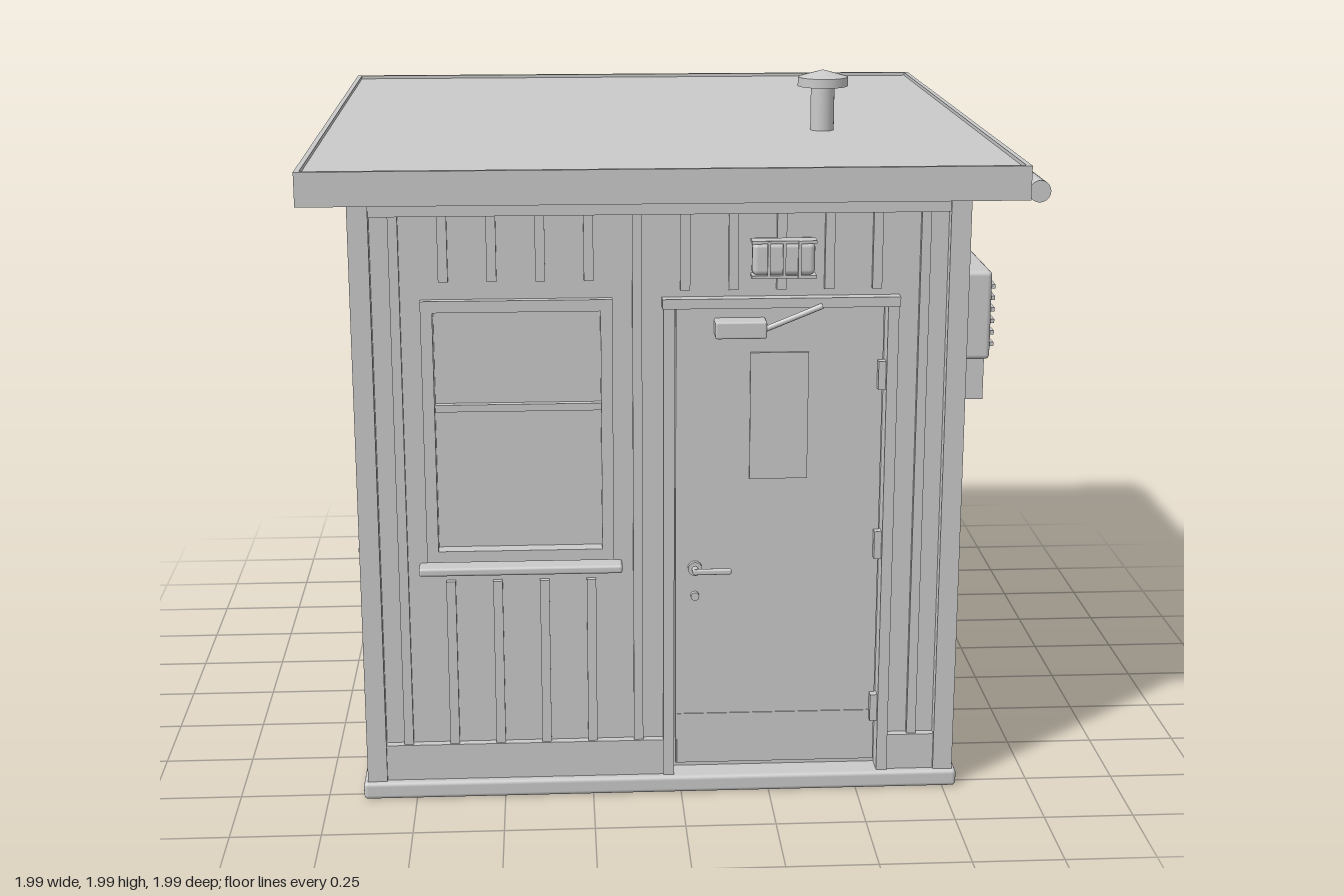
import * as THREE from 'three';
import { RoundedBoxGeometry } from 'three/addons/geometries/RoundedBoxGeometry.js';

export function createModel() {
  const model = new THREE.Group();
  model.name = 'guardHut';
  const paint = new THREE.MeshStandardMaterial({ color: 0xcacaca });
  paint.name = 'grey paint';

  const add = (parent, name, geo, x, y, z) => {
    const m = new THREE.Mesh(geo, paint);
    m.name = name;
    m.position.set(x, y, z);
    parent.add(m);
    return m;
  };
  // box given by its extents
  const box = (parent, name, x0, x1, y0, y1, z0, z1, r = 0) => {
    const s = [x1 - x0, y1 - y0, z1 - z0];
    const g = r ? new RoundedBoxGeometry(...s, 2, r) : new THREE.BoxGeometry(...s);
    return add(parent, name, g, (x0 + x1) / 2, (y0 + y1) / 2, (z0 + z1) / 2);
  };
  // round bar between two points
  const rod = (parent, name, a, b, r, sides = 16) => {
    const p = new THREE.Vector3(...a), q = new THREE.Vector3(...b);
    const d = q.clone().sub(p);
    const m = add(parent, name, new THREE.CylinderGeometry(r, r, d.length(), sides), 0, 0, 0);
    m.position.copy(p).add(q).multiplyScalar(0.5);
    m.quaternion.setFromUnitVectors(new THREE.Vector3(0, 1, 0), d.normalize());
    return m;
  };
  const rect = (Type, x0, x1, y0, y1) =>
    new Type([[x0, y0], [x1, y0], [x1, y1], [x0, y1]].map(p => new THREE.Vector2(...p)));

  // Hut body, centred on its own square plan
  const H = 0.833, B = 0.824, F = 0.801, G = 0.77; // post, band, panel and glass faces
  const hut = new THREE.Group();
  hut.name = 'hut';
  hut.position.set(-0.055, 0, -0.055);
  model.add(hut);
  box(hut, 'baseSlab', -0.845, 0.845, 0, 0.05, -0.845, 0.845, 0.012);
  box(hut, 'wallCore', -G, G, 0.04, 1.76, -G, G);
  for (const sx of [-1, 1]) for (const sz of [-1, 1]) {
    const post = box(hut, 'cornerPost', -0.0275, 0.0275, 0.05, 1.75, -0.0275, 0.0275);
    post.position.x = sx * (H - 0.0275);
    post.position.z = sz * (H - 0.0275);
  }

  // Each wall faces local +z; gaps are [from, to, low, high] breaks in the ribs,
  // holes are [x0, x1, y0, y1] openings in the panel
  const wall = (name, angle, gaps, holes) => {
    const w = new THREE.Group();
    w.name = name;
    w.rotation.y = angle;
    hut.add(w);
    const panel = rect(THREE.Shape, -0.79, 0.79, 0.04, 1.755);
    panel.holes = holes.map(h => rect(THREE.Path, ...h));
    add(w, 'wallPanel', new THREE.ExtrudeGeometry(panel, { depth: F - G, bevelEnabled: false }), 0, 0, G);
    box(w, 'topBand', -0.778, 0.778, 1.67, 1.75, F - 0.01, B);
    for (let i = 0; i < 12; i++) {
      const x = (i - 5.5) * 0.13;
      const gap = gaps.find(g => x > g[0] && x < g[1]);
      const spans = gap ? [[0.155, gap[2]], [gap[3], 1.67]] : [[0.155, 1.67]];
      for (const [a, b] of spans)
        if (b > a) box(w, 'wallRib', x - 0.013, x + 0.013, a, b, F - 0.005, F + 0.016);
    }
    return w;
  };
  const bottomBand = (w, x0, x1) => box(w, 'bottomBand', x0, x1, 0.05, 0.155, F - 0.01, B);

  // Rectangular window frame of four bars
  const frame = (w, x0, x1) => {
    const t = 0.032, y0 = 0.7, y1 = 1.44;
    for (const x of [x0, x1 - t]) box(w, 'windowFrame', x, x + t, y0, y1, G, B);
    for (const y of [y0, y1 - t]) box(w, 'windowFrame', x0 + t, x1 - t, y, y + t, G, B);
  };
  const windowHole = (cx, half) => [cx - half + 0.01, cx + half - 0.01, 0.71, 1.43];
  const sill = (w, x0, x1) => box(w, 'windowSill', x0, x1, 0.668, 0.692, F - 0.01, 0.852, 0.008);
  const sashWindow = (w, cx, half) => {
    const i = half - 0.032;
    frame(w, cx - half, cx + half);
    box(w, 'lowerSash', cx - i, cx + i, 0.732, 1.14, G - 0.005, G + 0.012);
    box(w, 'meetingRail', cx - i, cx + i, 1.122, 1.142, G, G + 0.02);
    sill(w, cx - half - 0.023, cx + half + 0.023);
  };

  // Front wall with window and door
  const front = wall('frontWall', 0, [[-0.65, -0.13, 0.64, 1.49], [0, 0.64, 0, 1.46]],
    [windowHole(-0.39, 0.258), [0.02, 0.63, 0.05, 1.425]]);
  bottomBand(front, -0.778, 0.005);
  bottomBand(front, 0.645, 0.778);
  sashWindow(front, -0.39, 0.258);
  const D = 0.79; // door face
  const door = new THREE.Group();
  door.name = 'door';
  door.position.x = 0.055;
  front.add(door);
  for (const [a, b] of [[-0.05, -0.02], [0.56, 0.59]])
    box(door, 'doorJamb', a, b, 0.05, 1.415, G, B + 0.006);
  box(door, 'doorHeader', -0.053, 0.593, 1.413, 1.44, G, H + 0.002);
  box(door, 'doorLeaf', -0.014, 0.555, 0.068, 1.406, G - 0.005, D);
  box(door, 'kickPlate', -0.01, 0.552, 0.07, 0.22, D - 0.004, D + 0.003);
  box(door, 'doorNotice', 0.19, 0.35, 0.92, 1.28, D - 0.002, D + 0.007);
  for (const y of [0.235, 0.725, 1.215])
    box(door, 'hinge', 0.54, 0.562, y - 0.04, y + 0.04, D - 0.005, D + 0.025);
  rod(door, 'handleRose', [0.04, 0.66, D - 0.01], [0.04, 0.66, D + 0.014], 0.02);
  rod(door, 'handleStem', [0.04, 0.66, D], [0.04, 0.66, D + 0.04], 0.009);
  box(door, 'handleLever', 0.032, 0.14, 0.652, 0.668, D + 0.03, D + 0.044, 0.005);
  rod(door, 'keyhole', [0.04, 0.578, D - 0.01], [0.04, 0.578, D + 0.014], 0.012);
  box(door, 'doorCloser', 0.09, 0.23, 1.33, 1.378, D - 0.005, 0.846, 0.006);
  rod(door, 'closerArm', [0.2, 1.345, 0.836], [0.38, 1.418, 0.836], 0.008, 8);
  // Wall lamp with guard bars
  const lamp = new THREE.Group();
  lamp.name = 'wallLamp';
  lamp.position.set(0.325, 1.555, 0);
  front.add(lamp);
  box(lamp, 'lampBack', -0.08, 0.08, -0.045, 0.045, F - 0.005, 0.84);
  box(lamp, 'lampLens', -0.084, 0.084, -0.045, 0.045, 0.83, 0.875, 0.015);
  for (let i = -1; i <= 1; i++)
    box(lamp, 'lampGuard', i * 0.041 - 0.004, i * 0.041 + 0.004, -0.05, 0.05, 0.835, 0.883);
  for (const y of [-0.047, 0.047])
    box(lamp, 'lampGuard', -0.087, 0.087, y - 0.004, y + 0.004, 0.835, 0.88);

  // Back wall with window and cover plate
  const back = wall('backWall', Math.PI, [[0.04, 0.65, 0.64, 1.49]], [windowHole(0.372, 0.274)]);
  bottomBand(back, -0.778, 0.778);
  sashWindow(back, 0.372, 0.274);
  box(back, 'coverPlate', -0.49, -0.36, 1.055, 1.22, F - 0.005, F + 0.02);

  // Left wall with wide sliding window and a small tray on its sill
  const left = wall('leftWall', -Math.PI / 2, [[-0.65, 0.65, 0.64, 1.49]], [windowHole(0, 0.632)]);
  bottomBand(left, -0.778, 0.778);
  frame(left, -0.632, 0.632);
  box(left, 'slidingPane', -0.6, 0.01, 0.732, 1.408, G - 0.005, G + 0.012);
  box(left, 'windowMullion', -0.012, 0.012, 0.732, 1.408, G, G + 0.02);
  sill(left, -0.657, 0.657);
  box(left, 'sillTray', 0.02, 0.15, 0.676, 0.698, 0.83, 0.867, 0.005);

  // Right wall with air conditioner, meter box and pipes
  const right = wall('rightWall', Math.PI / 2, [], []);
  bottomBand(right, -0.778, 0.778);
  box(right, 'airConditioner', -0.523, -0.135, 1.18, 1.44, F - 0.005, 0.962, 0.014);
  for (let i = 0; i < 6; i++) {
    const y = 1.222 + i * 0.034;
    box(right, 'louver', -0.505, -0.153, y - 0.006, y + 0.006, 0.95, 0.974);
  }
  for (const x of [-0.46, -0.2])
    box(right, 'supportBracket', x - 0.013, x + 0.013, 1.05, 1.19, F - 0.005, 0.955);
  rod(right, 'drainPipe', [-0.49, 0.09, 0.875], [-0.49, 1.19, 0.875], 0.009, 10);
  box(right, 'meterBox', 0.26, 0.485, 0.82, 1.085, F - 0.005, 0.873, 0.008);
  rod(right, 'conduit', [0.375, 0.155, 0.83], [0.375, 1.68, 0.83], 0.011, 10);

  // Roof slab with fascia rim
  box(model, 'roofDeck', -0.985, 0.875, 1.745, 1.82, -0.985, 0.985);
  for (const [a, b] of [[-0.997, -0.983], [0.873, 0.887]])
    box(model, 'fascia', a, b, 1.74, 1.83, -0.997, 0.997);
  for (const s of [-1, 1])
    box(model, 'fascia', -0.983, 0.873, 1.74, 1.83, s * 0.99 - 0.007, s * 0.99 + 0.007);

  // Roof vent
  const vent = (name, pts) =>
    add(model, name, new THREE.LatheGeometry(pts.map(p => new THREE.Vector2(...p)), 24), 0.434, 0, 0.267);
  rod(model, 'ventPipe', [0.434, 1.81, 0.267], [0.434, 1.95, 0.267], 0.034, 20);
  vent('ventCapTop', [[0.072, 1.972], [0, 1.992]]);
  vent('ventCapRim', [[0.072, 1.946], [0.072, 1.972]]);
  vent('ventCapUnderside', [[0, 1.946], [0.072, 1.946]]);

  // Gutter and downspout
  rod(model, 'gutter', [0.916, 1.758, -0.975], [0.916, 1.758, 0.968], 0.029, 20);
  rod(model, 'downspout', [0.919, 0.11, -0.922], [0.919, 1.76, -0.922], 0.02);
  add(model, 'downspoutElbow', new THREE.SphereGeometry(0.021, 16, 10), 0.919, 0.113, -0.922);
  rod(model, 'downspoutOutlet', [0.919, 0.113, -0.922], [0.982, 0.077, -0.922], 0.021);
  for (const y of [0.4, 0.92, 1.435])
    box(model, 'downspoutBracket', 0.75, 0.925, y - 0.011, y + 0.011, -0.945, -0.885);

  return model;
}
